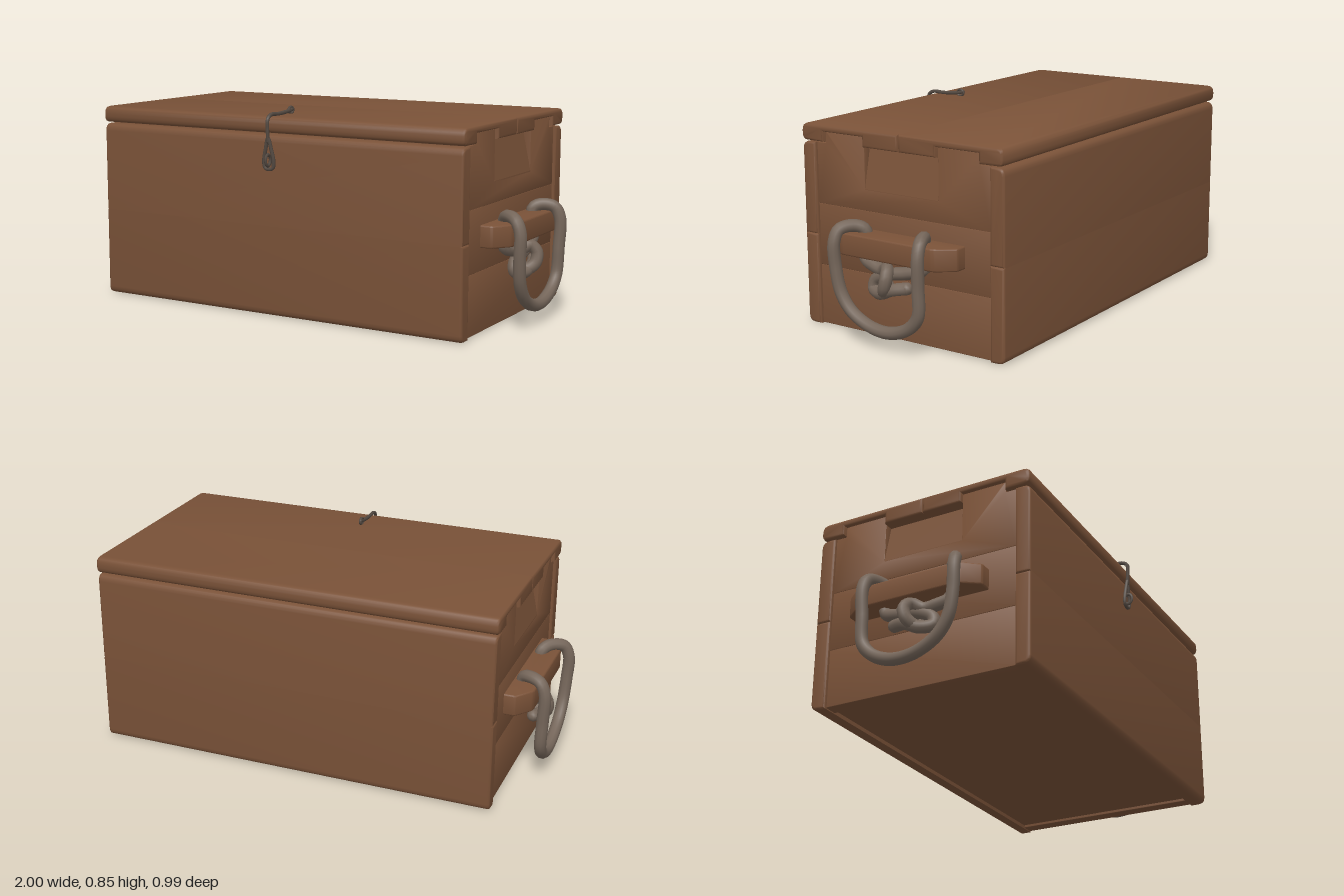
import * as THREE from 'three';
import { toCreasedNormals } from 'three/addons/utils/BufferGeometryUtils.js';

const wood = new THREE.MeshStandardMaterial({ color: 0x7a5238 });
wood.name = 'brown wood';
const ropeMat = new THREE.MeshStandardMaterial({ color: 0x75665a });
ropeMat.name = 'grey rope';
const iron = new THREE.MeshStandardMaterial({ color: 0x544a42 });
iron.name = 'dark iron';

const V = (x, y, z) => new THREE.Vector3(x, y, z);

function add(group, name, geometry, material) {
  const mesh = new THREE.Mesh(geometry, material);
  mesh.name = name;
  group.add(mesh);
}

// Closed outline from [u, v, cornerRadius] points
function outline(points) {
  const shape = new THREE.Shape();
  points.forEach(([u, v, r = 0], i) => {
    const p = new THREE.Vector2(u, v);
    const toward = (q) => new THREE.Vector2(q[0], q[1]).sub(p).setLength(r).add(p);
    const a = toward(points[(i + points.length - 1) % points.length]);
    const b = toward(points[(i + 1) % points.length]);
    if (i === 0) shape.moveTo(a.x, a.y);
    else shape.lineTo(a.x, a.y);
    if (r > 0) shape.quadraticCurveTo(u, v, b.x, b.y);
  });
  shape.closePath();
  return shape;
}

function extrude(points, length, bevel) {
  return new THREE.ExtrudeGeometry(outline(points), {
    depth: length - 2 * bevel, bevelEnabled: bevel > 0, bevelThickness: bevel,
    bevelSize: bevel, bevelOffset: -bevel, bevelSegments: 3, curveSegments: 4,
  }).translate(0, 0, bevel - length / 2);
}

// Plank running along x, from a [z, y, radius] profile
function plank(group, name, profile, length, bevel, x = 0) {
  const points = profile.map(([z, y, r]) => [-z, y, r]);
  const geometry = extrude(points, length, bevel).rotateY(Math.PI / 2).translate(x, 0, 0);
  add(group, name, toCreasedNormals(geometry, 0.9), wood);
}

function tube(group, name, points, radius, material, closed = false, segments = 60, sides = 8) {
  const curve = new THREE.CatmullRomCurve3(points, closed, 'centripetal');
  add(group, name, new THREE.TubeGeometry(curve, segments, radius, sides, closed), material);
  if (closed) return;
  for (const end of [points[0], points[points.length - 1]]) {
    add(group, name + 'End', new THREE.SphereGeometry(radius, sides, 6).translate(end.x, end.y, end.z), material);
  }
}

function createEnd(s) {
  const end = new THREE.Group();
  end.name = s > 0 ? 'leftEnd' : 'rightEnd';
  const px = s * 0.808;

  // Lower end planks
  for (const [y0, y1] of [[0.008, 0.25], [0.25, 0.5]]) {
    plank(end, 'endPlank', [[0.39, y0], [0.39, y1], [-0.43, y1], [-0.43, y0]], 0.06, 0.003, px);
  }
  // Top plank, with two tabs that fit into the lid
  plank(end, 'tabbedEndPlank', [
    [0.39, 0.5], [0.39, 0.745], [0.345, 0.745], [0.345, 0.789, 0.008], [0.155, 0.789], [0.155, 0.585],
    [-0.195, 0.585], [-0.195, 0.789], [-0.385, 0.789, 0.008], [-0.385, 0.745], [-0.43, 0.745], [-0.43, 0.5],
  ], 0.06, 0.002, px);
  // Sloping finger recess between the tabs
  const recess = [[s * 0.78, 0.58], [s * 0.838, 0.58], [s * 0.838, 0.585], [s * 0.802, 0.75], [s * 0.78, 0.75]];
  add(end, 'fingerRecess', extrude(recess, 0.35, 0).translate(0, 0, -0.02), wood);

  // Handle block, tapered at both ends
  const block = extrude([
    [s * 0.82, 0.275], [s * 0.885, 0.275, 0.008], [s * 0.94, 0.2, 0.015],
    [s * 0.94, -0.24, 0.015], [s * 0.885, -0.313, 0.008], [s * 0.82, -0.313],
  ].map(([x, z, r]) => [x, -z, r]), 0.088, 0.006).rotateX(-Math.PI / 2).translate(0, 0.386, 0);
  add(end, 'handleBlock', toCreasedNormals(block, 0.7), wood);

  // Rope handle: tail, knot, through the block, hanging loop and back to the knot
  const path = [
    [0.905, 0.246, -0.09], [0.925, 0.235, -0.03], [0.915, 0.21, 0.03], [0.895, 0.22, 0.075],
    [0.89, 0.253, 0.068], [0.895, 0.285, 0.0], [0.885, 0.3, -0.08], [0.875, 0.325, -0.15],
    [0.87, 0.39, -0.15], [0.872, 0.44, -0.152], [0.9, 0.455, -0.17], [0.95, 0.445, -0.19],
    [0.972, 0.4, -0.196], [0.97, 0.28, -0.194], [0.965, 0.17, -0.188], [0.962, 0.12, -0.15],
    [0.96, 0.088, -0.09], [0.96, 0.077, -0.02], [0.96, 0.092, 0.06], [0.962, 0.135, 0.135],
    [0.965, 0.2, 0.18], [0.97, 0.3, 0.2], [0.972, 0.4, 0.203], [0.95, 0.445, 0.195],
    [0.9, 0.455, 0.16], [0.872, 0.435, 0.13], [0.87, 0.38, 0.13], [0.875, 0.325, 0.13],
    [0.885, 0.305, 0.08], [0.895, 0.297, 0.03], [0.92, 0.315, -0.01], [0.945, 0.29, -0.025],
    [0.945, 0.245, -0.015], [0.915, 0.22, 0.01], [0.88, 0.235, 0.02],
  ].map(([x, y, z]) => V(s * x, y, z));
  tube(end, 'ropeHandle', path, 0.025, ropeMat, false, 180, 10);
  return end;
}

function createLatch() {
  const latch = new THREE.Group();
  latch.name = 'latch';
  // Bent rod from the lid down the front
  tube(latch, 'latchRod', [
    V(0, 0.836, 0.292), V(0, 0.83, 0.32), V(0, 0.824, 0.4), V(0, 0.825, 0.45), V(0, 0.81, 0.474),
    V(0, 0.77, 0.477), V(0, 0.72, 0.473),
  ], 0.008, iron, false, 40, 6);
  // Teardrop loop at the lower end
  tube(latch, 'latchLoop', [
    V(0, 0.735, 0.474), V(0.013, 0.69, 0.471), V(0.023, 0.64, 0.469), V(0.017, 0.612, 0.468),
    V(-0.017, 0.612, 0.468), V(-0.023, 0.64, 0.469), V(-0.013, 0.69, 0.471),
  ], 0.0075, iron, true, 40, 6);
  // Staples holding both ends
  for (const [y, z, rx, ry] of [[0.832, 0.305, 0.9, 0.75], [0.645, 0.475, 0.95, 1.25]]) {
    const ring = new THREE.TorusGeometry(0.018, 0.006, 6, 14).scale(rx, ry, 1)
      .rotateY(Math.PI / 2).translate(0, y, z);
    add(latch, 'staple', ring, iron);
  }
  return latch;
}

export function createModel() {
  const chest = new THREE.Group();
  chest.name = 'woodenChest';

  // Front and back planks, rounded on their outer edges
  for (const [name, inner, outer] of [['frontPlank', 0.391, 0.455], ['backPlank', -0.431, -0.495]]) {
    plank(chest, name, [[inner, 0.004], [inner, 0.375], [outer, 0.375], [outer, 0.004, 0.03]], 1.7, 0.01);
    plank(chest, name, [[inner, 0.375], [inner, 0.745], [outer, 0.745, 0.03], [outer, 0.375]], 1.7, 0.01);
  }

  // Floor and inner lining, closing the seams from within
  add(chest, 'innerLining', new THREE.BoxGeometry(1.58, 0.74, 0.84).translate(0, 0.39, -0.02), wood);

  // Two lid planks, notched underneath for the end tabs
  plank(chest, 'frontLidPlank', [
    [0.455, 0.75, 0.025], [0.455, 0.818, 0.03], [-0.02, 0.818], [-0.02, 0.75],
    [0.155, 0.75], [0.155, 0.79], [0.346, 0.79], [0.346, 0.75],
  ], 1.71, 0.012);
  plank(chest, 'backLidPlank', [
    [-0.495, 0.75, 0.025], [-0.495, 0.818, 0.03], [-0.02, 0.818], [-0.02, 0.75],
    [-0.195, 0.75], [-0.195, 0.79], [-0.386, 0.79], [-0.386, 0.75],
  ], 1.71, 0.012);

  chest.add(createEnd(1), createEnd(-1), createLatch());
  return chest;
}
